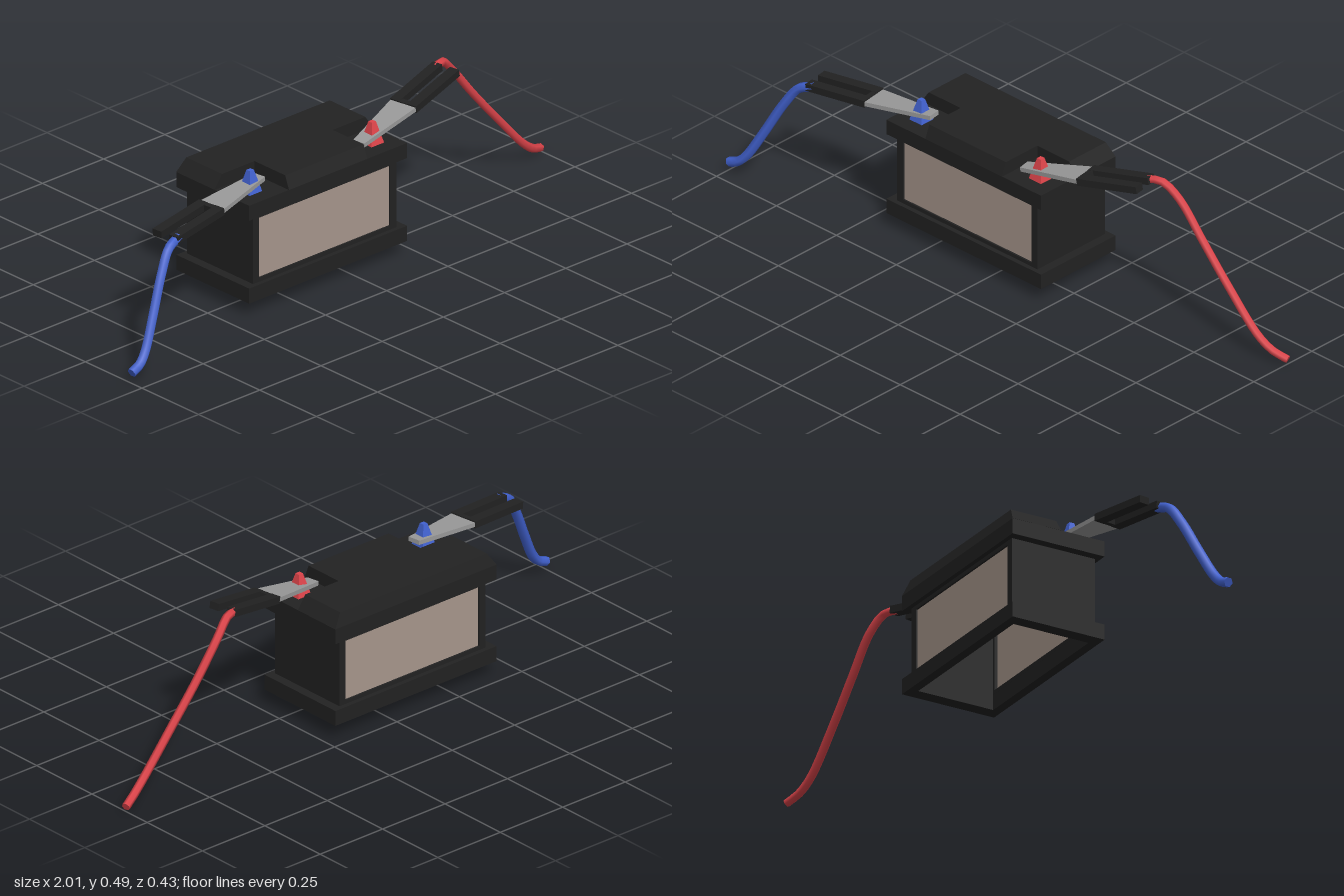
import * as THREE from 'three';

const paint = (color) => new THREE.MeshStandardMaterial({ color });
const black = paint(0x222222), red = paint(0xdd444a), blue = paint(0x4262d0);
const steel = paint(0x9a9a9a), beige = paint(0xa8978d);
beige.side = THREE.DoubleSide;

const CX = -0.107, CZ = -0.054; // centre of the battery

function add(parent, name, geometry, material, x = 0, y = 0, z = 0) {
  const mesh = new THREE.Mesh(geometry, material);
  mesh.name = name;
  mesh.position.set(x, y, z);
  parent.add(mesh);
  return mesh;
}

// Rectangular frame in the xy plane, extruded along z
function frame(w, h, holeW, holeH, depth) {
  const rect = (Type, a, b) => new Type([[-a, -b], [a, -b], [a, b], [-a, b]].map(([x, y]) => new THREE.Vector2(x / 2, y / 2)));
  const shape = rect(THREE.Shape, w, h);
  shape.holes.push(rect(THREE.Path, holeW, holeH));
  return new THREE.ExtrudeGeometry(shape, { depth, bevelEnabled: false });
}

// Block whose top rectangle differs from its bottom one; each is [x0, x1, z0, z1]
function taperedBlock(bottom, top, y0, y1) {
  const geometry = new THREE.BoxGeometry(1, 1, 1);
  const p = geometry.attributes.position;
  for (let i = 0; i < p.count; i++) {
    const up = p.getY(i) > 0, r = up ? top : bottom;
    p.setXYZ(i, r[p.getX(i) > 0 ? 1 : 0], up ? y1 : y0, r[p.getZ(i) > 0 ? 3 : 2]);
  }
  const flat = geometry.toNonIndexed();
  flat.computeVertexNormals();
  return flat;
}

function buildBattery() {
  const battery = new THREE.Group();
  battery.name = 'battery';

  // Open base rim
  const rim = frame(0.645, 0.322, 0.555, 0.262, 0.05);
  rim.rotateX(-Math.PI / 2);
  add(battery, 'baseRim', rim, black, CX, 0.047, CZ);

  // Hollow case: framed label on the front and back, plain ends
  const wall = 0.015, midY = 0.2095;
  for (const side of [1, -1]) {
    const panel = new THREE.Group();
    panel.name = side > 0 ? 'frontPanel' : 'backPanel';
    add(panel, 'panelFrame', frame(0.585, 0.225, 0.535, 0.2, wall), black, 0, 0, -wall);
    add(panel, 'label', new THREE.PlaneGeometry(0.535, 0.2), beige, 0, 0, -0.006);
    panel.position.set(CX, midY, CZ + side * 0.1455);
    panel.rotation.y = side > 0 ? 0 : Math.PI;
    battery.add(panel);
    add(battery, side > 0 ? 'leftEnd' : 'rightEnd', new THREE.BoxGeometry(wall, 0.225, 0.262),
      black, CX + side * 0.285, midY, CZ);
  }

  // Lid with a bevelled top, cut away at both front corners
  add(battery, 'lid', new THREE.BoxGeometry(0.645, 0.05, 0.322), black, CX, 0.347, CZ);
  add(battery, 'lidTopBack', taperedBlock(
    [-0.43, 0.215, -0.215, -0.045], [-0.4, 0.186, -0.203, -0.045], 0.372, 0.415), black);
  add(battery, 'lidTopFront', taperedBlock(
    [-0.267, 0.053, -0.045, 0.107], [-0.267, 0.053, -0.045, 0.09], 0.372, 0.415), black);

  // Terminals
  const b = 0.026, t = 0.008;
  for (const [name, material, x] of [['leftTerminal', red, 0.142], ['rightTerminal', blue, -0.356]])
    add(battery, name, taperedBlock([-b, b, -b, b], [-t, t, -t, t], 0.37, 0.442), material, x, 0, 0.032);
  return battery;
}

// Clamp running along its own +z from the jaw tip to the handle ends
function buildClamp(name, tip, end) {
  const clamp = new THREE.Group();
  clamp.name = name;
  const from = new THREE.Vector3(...tip), to = new THREE.Vector3(...end);
  const length = from.distanceTo(to), jaw = 0.235;

  const outline = [[-0.021, 0], [0.021, 0], [0.048, jaw], [-0.048, jaw]];
  const plate = new THREE.ExtrudeGeometry(
    new THREE.Shape(outline.map(([x, y]) => new THREE.Vector2(x, y))), { depth: 0.014, bevelEnabled: false });
  plate.rotateX(Math.PI / 2);
  add(clamp, 'jaw', plate, steel, 0, 0.007, 0);
  add(clamp, 'handleBridge', new THREE.BoxGeometry(0.097, 0.021, 0.018), black, 0, 0, jaw);
  for (const side of [-1, 1])
    add(clamp, 'handle', new THREE.BoxGeometry(0.034, 0.023, length - 0.226), black,
      side * 0.032, 0, (length + 0.226) / 2);

  clamp.position.copy(from);
  clamp.lookAt(to);
  return clamp;
}

function buildCable(name, points, radius, material) {
  const cable = new THREE.Group();
  cable.name = name;
  const curve = new THREE.CatmullRomCurve3(points.map((p) => new THREE.Vector3(...p)));
  add(cable, 'cableSleeve', new THREE.TubeGeometry(curve, 28, radius, 6), material);
  // Closed cable ends
  for (const u of [0, 1]) {
    const cap = add(cable, 'cableEnd', new THREE.CircleGeometry(radius, 6), material);
    const point = curve.getPoint(u);
    cap.position.copy(point);
    cap.lookAt(point.add(curve.getTangent(u).multiplyScalar(u ? 1 : -1)));
  }
  return cable;
}

export function createModel() {
  const model = new THREE.Group();
  model.name = 'batteryWithJumpCables';
  model.add(buildBattery());

  model.add(buildClamp('leftClamp', [0.08, 0.39, 0.04], [0.51, 0.473, -0.038]));
  model.add(buildCable('leftCable', [
    [0.49, 0.47, -0.068], [0.535, 0.472, -0.085], [0.59, 0.425, -0.103], [0.68, 0.315, -0.11],
    [0.78, 0.2, -0.114], [0.9, 0.07, -0.122], [0.95, 0.033, -0.133], [0.997, 0.014, -0.15],
  ], 0.0135, red));

  model.add(buildClamp('rightClamp', [-0.31, 0.401, 0.024], [-0.75, 0.366, 0.083]));
  model.add(buildCable('rightCable', [
    [-0.725, 0.367, 0.114], [-0.775, 0.348, 0.125], [-0.82, 0.285, 0.142], [-0.88, 0.17, 0.168],
    [-0.93, 0.08, 0.189], [-0.96, 0.048, 0.197], [-0.996, 0.033, 0.2],
  ], 0.0155, blue));
  return model;
}
